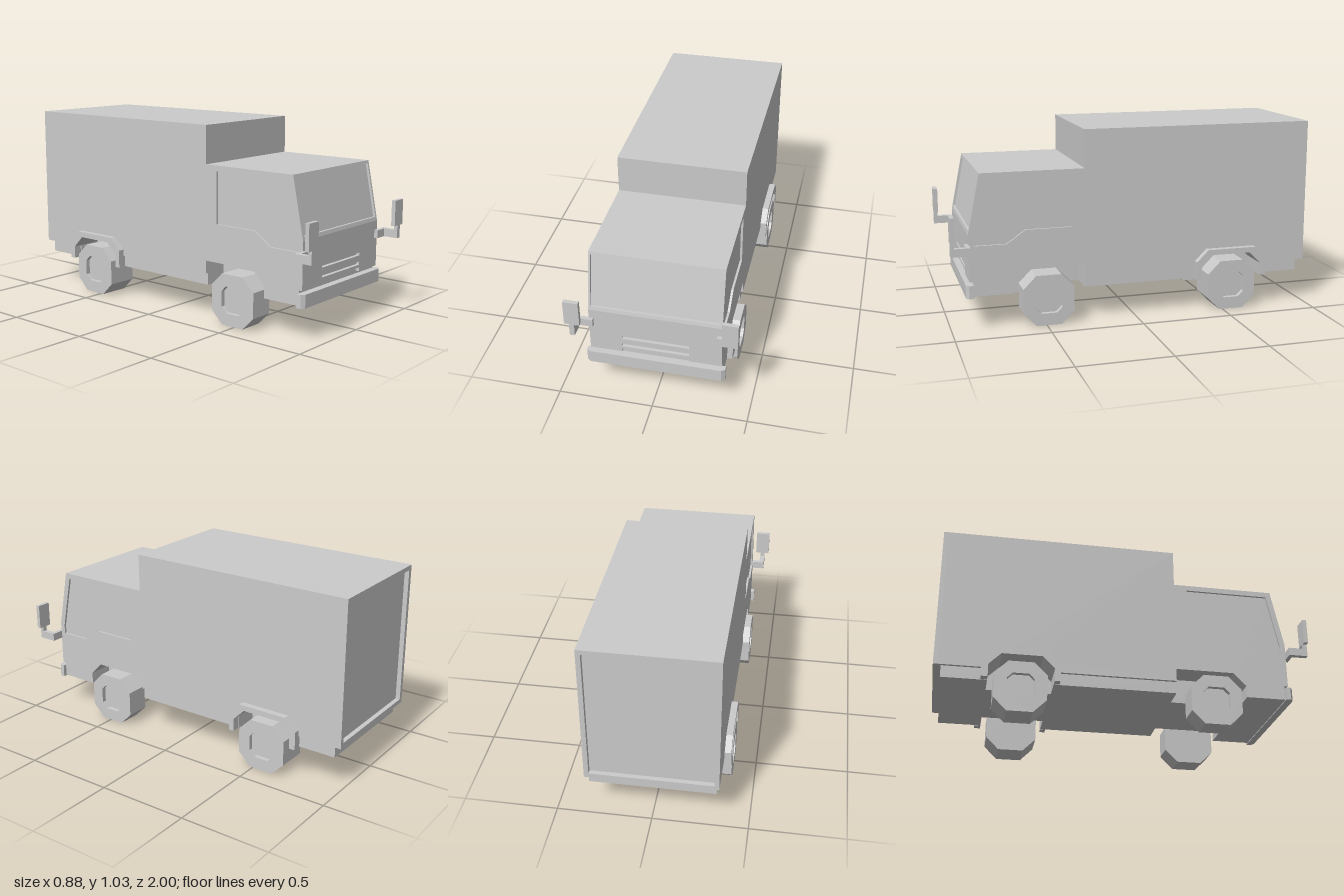
import * as THREE from 'three';

const material = new THREE.MeshStandardMaterial({ color: 0xcccccc, flatShading: true });

const toShape = (points) => new THREE.Shape(points.map(([a, b]) => new THREE.Vector2(a, b)));

// Shape with optional holes, each given as a list of corner pairs
function outline(points, holes = []) {
  const shape = toShape(points);
  holes.forEach((h) => shape.holes.push(toShape(h)));
  return shape;
}

const rect = (x0, x1, y0, y1) => [[x0, y0], [x1, y0], [x1, y1], [x0, y1]];

// Square of half-size h with its corners cut by c
const octagon = (z, y, h, c) => [
  [z - h + c, y - h], [z + h - c, y - h], [z + h, y - h + c], [z + h, y + h - c],
  [z + h - c, y + h], [z - h + c, y + h], [z - h, y + h - c], [z - h, y - h + c],
];

function add(parent, name, geometry) {
  const mesh = new THREE.Mesh(geometry, material);
  mesh.name = name;
  parent.add(mesh);
  return mesh;
}

// Side profile of (z, y) points spanning x0..x1
function slab(x0, x1, points, holes) {
  return new THREE.ExtrudeGeometry(outline(points, holes), { depth: x1 - x0, bevelEnabled: false })
    .rotateY(-Math.PI / 2).translate(x1, 0, 0);
}

// Front outline of (x, y) points spanning z0..z1
function plate(z0, z1, points, holes) {
  return new THREE.ExtrudeGeometry(outline(points, holes), { depth: z1 - z0, bevelEnabled: false })
    .translate(0, 0, z0);
}

function box(x0, x1, y0, y1, z0, z1) {
  return new THREE.BoxGeometry(x1 - x0, y1 - y0, z1 - z0)
    .translate((x0 + x1) / 2, (y0 + y1) / 2, (z0 + z1) / 2);
}

const W = 0.345;        // half width of the body
const SKIN = 0.333;     // half width behind the cab side panels
const WELL = 0.2;       // inner wall of the wheel wells
const FLOOR = 0.18;
const FRONT_AXLE = 0.487, REAR_AXLE = -0.55, WHEEL_R = 0.138;

const rearArch = [[-0.72, 0.25], [-0.655, 0.315], [-0.44, 0.315], [-0.375, 0.25]];
const frontArch = [[0.28, 0.315], [0.595, 0.315], [0.665, 0.245], [0.665, FLOOR]];

function buildCab(truck) {
  const cab = new THREE.Group();
  cab.name = 'cab';
  truck.add(cab);
  // The nose has a stepped-in notch for the windscreen
  const nose = [[0.88, FLOOR], [0.88, 0.51], [0.9, 0.51], [0.896, 0.53], [0.883, 0.53],
    [0.825, 0.815], [0.838, 0.815], [0.835, 0.83], [0.28, 0.83]];
  add(cab, 'cabCore', slab(-WELL, WELL, [[0.28, FLOOR], ...nose]));
  const panel = [...frontArch, [0.88, FLOOR], [0.88, 0.26], [0.9, 0.26], [0.9, 0.51],
    [0.835, 0.83], [0.28, 0.83]];
  const sideWindow = [[0.35, 0.52], [0.6, 0.52], [0.7, 0.45], [0.872, 0.45], [0.872, 0.5],
    [0.81, 0.8], [0.35, 0.8]];
  for (const s of [-1, 1]) {
    const span = (a, b) => (s > 0 ? [a, b] : [-b, -a]);
    add(cab, 'cabSideCore', slab(...span(WELL, SKIN), [...frontArch, ...nose]));
    add(cab, 'cabSidePanel', slab(...span(SKIN, W), panel, [sideWindow]));
  }
  // Front panel with grille slots and a notch along its lower edge
  add(cab, 'grillePanel', plate(0.88, 0.9,
    [[-SKIN, 0.26], [-0.175, 0.26], [-0.175, 0.28], [0.175, 0.28], [0.175, 0.26], [SKIN, 0.26],
      [SKIN, 0.51], [-SKIN, 0.51]],
    [rect(-0.175, 0.175, 0.295, 0.312), rect(-0.175, 0.175, 0.346, 0.362)]));
}

function buildCargo(truck) {
  const cargo = new THREE.Group();
  cargo.name = 'cargoBox';
  truck.add(cargo);
  const back = -0.975, top = 1.035, low = 0.245;
  add(cargo, 'cargoCore', slab(-WELL, WELL, rect(back, 0.28, low, top)));
  const side = [[back, low], [-0.72, low], ...rearArch, [-0.375, low], [0.28, low],
    [0.28, top], [back, top]];
  add(cargo, 'cargoSide', slab(WELL, W, side));
  add(cargo, 'cargoSide', slab(-W, -WELL, side));
  // Frame around the recessed rear door
  add(cargo, 'rearDoorFrame', plate(-1, back, rect(-W, W, low, top),
    [rect(-0.32, 0.32, 0.27, 1.01)]));
}

function buildChassis(truck) {
  add(truck, 'chassis', box(-WELL, WELL, FLOOR, 0.245, -0.96, 0.28));
  for (const s of [-1, 1]) {
    const [a, b] = s > 0 ? [WELL, 0.33] : [-0.33, -WELL];
    add(truck, 'chassisRail', box(a, b, FLOOR, 0.245, -0.375, 0.28));
    add(truck, 'chassisRail', box(a, b, FLOOR, 0.245, -0.96, -0.72));
  }
  // Bumper with cut corners, drawn from above
  const bumper = new THREE.ExtrudeGeometry(
    outline([[-0.365, -0.88], [-0.365, -0.905], [-0.345, -0.92], [0.345, -0.92],
      [0.365, -0.905], [0.365, -0.88]]),
    { depth: 0.07, bevelEnabled: false }).rotateX(-Math.PI / 2).translate(0, 0.175, 0);
  add(truck, 'frontBumper', bumper);
}

function buildWheels(truck, s) {
  const span = (a, b) => (s > 0 ? [a, b] : [-b, -a]);
  for (const [name, z, inner] of [['frontWheel', FRONT_AXLE, 0.245], ['rearWheel', REAR_AXLE, 0.21]]) {
    const wheel = new THREE.Group();
    wheel.name = name;
    truck.add(wheel);
    const tyre = octagon(z, WHEEL_R, WHEEL_R, 0.07);
    const hub = octagon(z, WHEEL_R, 0.072, 0.03);
    add(wheel, 'tyre', slab(...span(inner, 0.38), tyre, [hub]));
    add(wheel, 'hub', slab(...span(inner, 0.355), hub));
    add(wheel, 'axle', box(...span(0, inner), 0.11, 0.19, z - 0.02, z + 0.02)).visible = false;
  }
  // Flared arch over the rear wheel
  add(truck, 'rearFender', slab(...span(0.335, 0.38), [
    [-0.755, FLOOR], [-0.72, FLOOR], ...rearArch, [-0.375, FLOOR], [-0.345, FLOOR],
    [-0.345, 0.28], [-0.41, 0.345], [-0.69, 0.345], [-0.755, 0.28]]));
}

function buildMirror(truck, s) {
  const mirror = new THREE.Group();
  mirror.name = s > 0 ? 'leftMirror' : 'rightMirror';
  truck.add(mirror);
  const span = (a, b) => (s > 0 ? [a, b] : [-b, -a]);
  add(mirror, 'mirrorBracket', box(...span(0.32, 0.39), 0.417, 0.46, 0.897, 0.92));
  add(mirror, 'mirrorArm', box(...span(0.388, 0.415), 0.417, 0.46, 0.897, 0.98));
  add(mirror, 'mirrorPost', box(...span(0.388, 0.415), 0.417, 0.487, 0.98, 1));
  add(mirror, 'mirrorHead', box(...span(0.36, 0.44), 0.487, 0.625, 0.978, 1));
}

export function createModel() {
  const truck = new THREE.Group();
  truck.name = 'boxTruck';
  buildCab(truck);
  buildCargo(truck);
  buildChassis(truck);
  for (const s of [-1, 1]) {
    buildWheels(truck, s);
    buildMirror(truck, s);
  }
  return truck;
}
